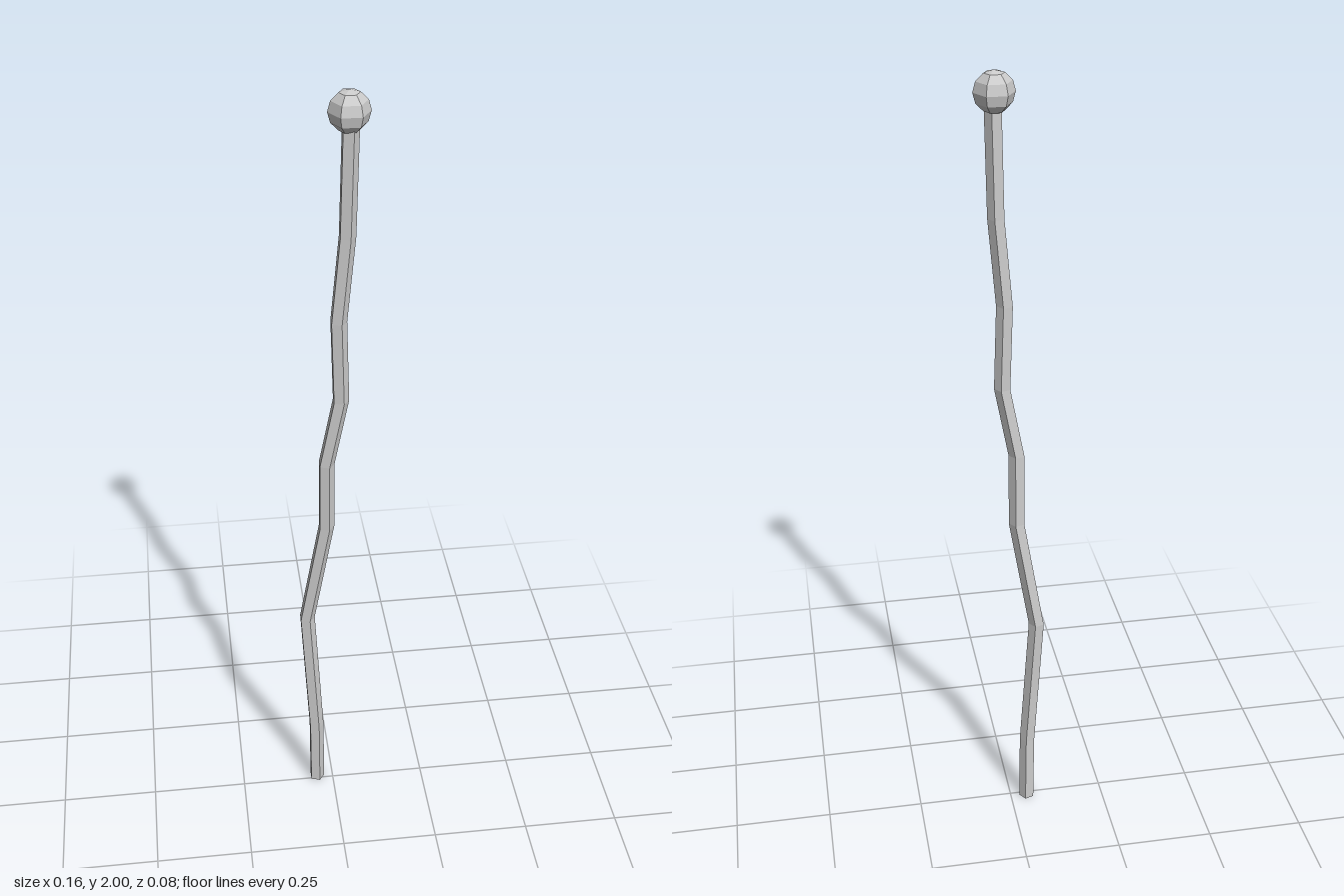
import * as THREE from 'three';

const material = new THREE.MeshStandardMaterial({ color: 0xcccccc, flatShading: true });

// Five-sided shaft whose level rings follow a crooked centre line
function shaftGeometry(path, radius, sides) {
  const rings = path.length - 1;
  const geometry = new THREE.CylinderGeometry(radius, radius, rings, sides, rings, false, Math.PI / 2);
  const p = geometry.attributes.position;
  for (let i = 0; i < p.count; i++) {
    const [x, y, z] = path[Math.round(p.getY(i) + rings / 2)];
    p.setXYZ(i, p.getX(i) + x, y, p.getZ(i) + z);
  }
  geometry.computeVertexNormals();
  return geometry;
}

export function createModel() {
  const group = new THREE.Group();
  group.name = 'walkingStick';

  // Crooked wooden shaft, foot to top
  const path = [
    [-0.044, 0, -0.009],
    [-0.045, 0.2, -0.009],
    [-0.066, 0.58, -0.0155],
    [-0.016, 0.88, -0.004],
    [-0.016, 1.07, 0],
    [0.018, 1.25, 0.004],
    [0.012, 1.46, 0.005],
    [0.031, 1.67, 0.005],
    [0.037, 1.94, 0.005],
  ];
  const shaft = new THREE.Mesh(shaftGeometry(path, 0.0205, 5), material);
  shaft.name = 'shaft';
  group.add(shaft);

  // Faceted ball on top
  const knob = new THREE.Mesh(new THREE.SphereGeometry(0.047, 6, 6), material);
  knob.name = 'knob';
  knob.position.set(0.035, 1.953, 0);
  group.add(knob);

  return group;
}
